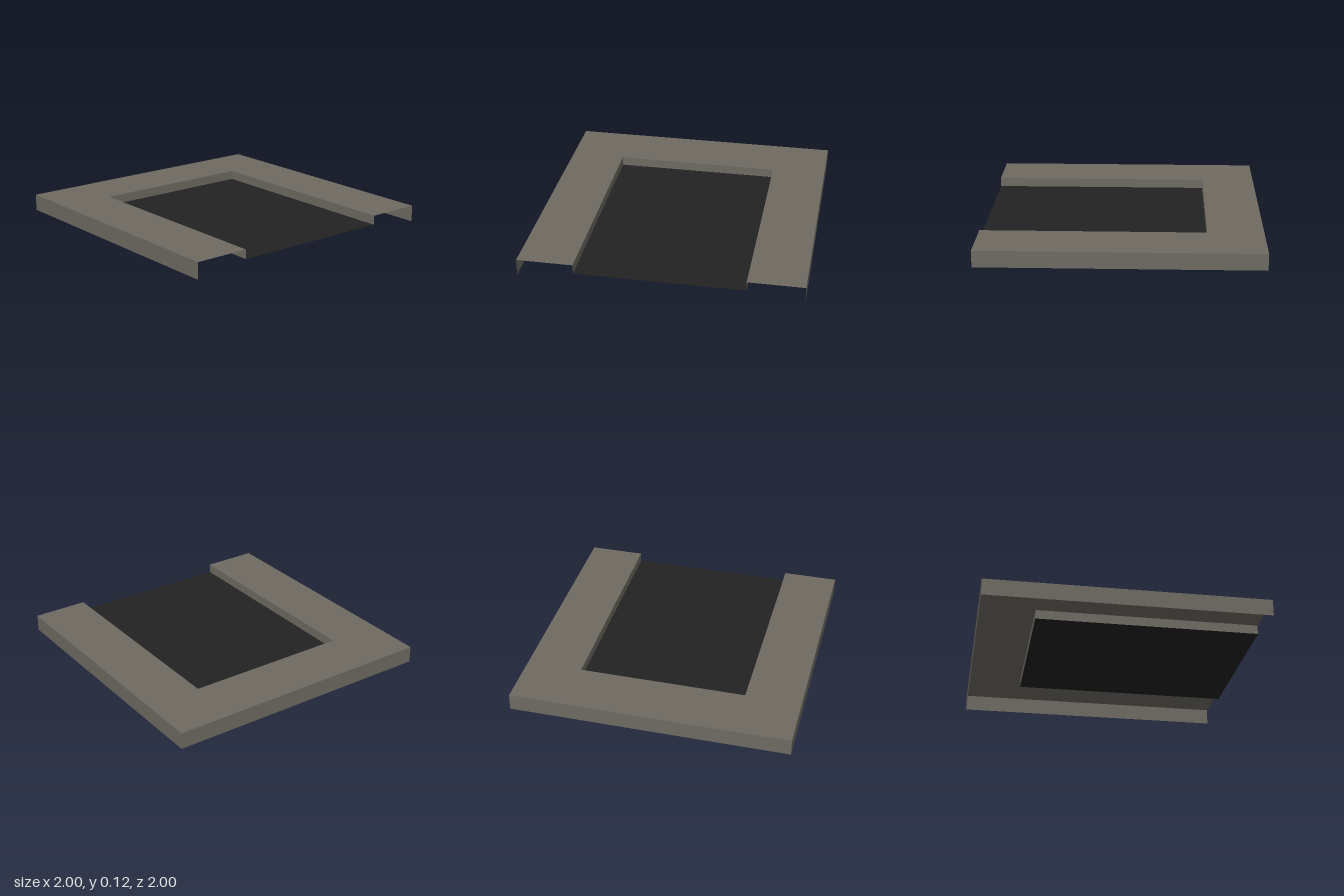
import * as THREE from 'three';

const TOP = 0.12, FLOOR = 0.053, HALF = 1, INNER = 0.6;

const stone = new THREE.MeshStandardMaterial({ name: 'warm grey', color: 0x6e6a62, side: THREE.DoubleSide });
const dark = new THREE.MeshStandardMaterial({ name: 'dark grey', color: 0x222222, side: THREE.DoubleSide });

export function createModel() {
  const group = new THREE.Group();
  group.name = 'recessedPlatform';

  const add = (name, geometry, material) => {
    const mesh = new THREE.Mesh(geometry, material);
    mesh.name = name;
    group.add(mesh);
    return mesh;
  };

  // Upright sheet of the given width, facing the given heading
  const wall = (name, width, y0, y1, x, z, heading) => {
    const mesh = add(name, new THREE.PlaneGeometry(width, y1 - y0), stone);
    mesh.position.set(x, (y0 + y1) / 2, z);
    mesh.rotation.y = heading;
  };

  // U-shaped deck, open towards the front (shape y becomes -z)
  const outline = [
    [-HALF, -HALF], [-INNER, -HALF], [-INNER, INNER], [INNER, INNER],
    [INNER, -HALF], [HALF, -HALF], [HALF, HALF], [-HALF, HALF],
  ].map(([x, y]) => new THREE.Vector2(x, y));
  const deck = new THREE.ShapeGeometry(new THREE.Shape(outline)).rotateX(-Math.PI / 2);
  add('deck', deck, stone).position.y = TOP;

  // Sunken floor
  const depth = HALF + INNER;
  const floor = new THREE.PlaneGeometry(2 * INNER, depth).rotateX(-Math.PI / 2);
  add('recessFloor', floor, dark).position.set(0, FLOOR, HALF - depth / 2);

  // Outer skirts and recess walls, mirrored left and right
  for (const [side, s] of [['left', 1], ['right', -1]]) {
    wall(`${side}Skirt`, 2 * HALF, 0, TOP, s * HALF, 0, s * Math.PI / 2);
    wall(`${side}RecessWall`, depth, FLOOR, TOP, s * INNER, HALF - depth / 2, -s * Math.PI / 2);
  }
  wall('backSkirt', 2 * HALF, 0, TOP, 0, -HALF, Math.PI);
  wall('backRecessWall', 2 * INNER, FLOOR, TOP, 0, -INNER, 0);

  return group;
}
